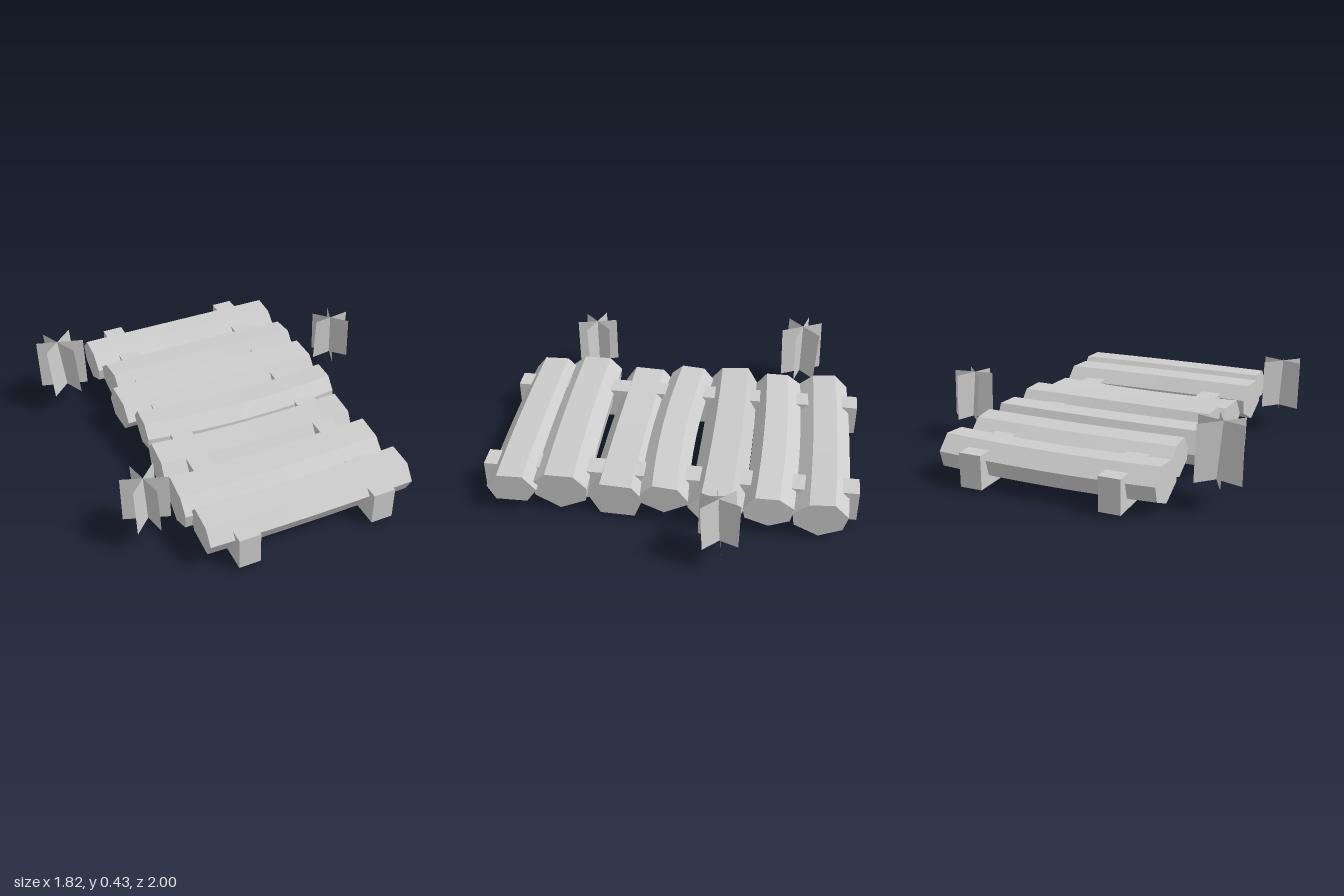
import * as THREE from 'three';

const grey = new THREE.MeshStandardMaterial({ color: 0xcccccc, side: THREE.DoubleSide });
grey.name = 'plain grey';

// Logs, front to back: x ends, z shift of the -x end, bow in z, sag in y, end slant,
// and the cross-section as [-z, y] corners.
const LOGS = [
  { x: [-0.54, 0.59], shift: 0, bow: 0.01, sag: 0, slant: 0.02,
    profile: [[-0.95, 0.165], [-0.89, 0.24], [-0.75, 0.245], [-0.68, 0.165], [-0.735, 0.085], [-0.905, 0.08]] },
  { x: [-0.57, 0.56], shift: 0.01, bow: 0.01, sag: 0, slant: 0.05,
    profile: [[-0.64, 0.245], [-0.485, 0.25], [-0.415, 0.18], [-0.425, 0.1], [-0.565, 0.03], [-0.7, 0.1], [-0.715, 0.18]] },
  { x: [-0.545, 0.56], shift: -0.02, bow: 0.01, sag: 0.015, slant: 0.06,
    profile: [[-0.35, 0.21], [-0.18, 0.21], [-0.12, 0.14], [-0.165, 0.02], [-0.35, 0.015], [-0.41, 0.12]] },
  { x: [-0.53, 0.59], shift: -0.022, bow: 0.03, sag: 0.01, slant: 0.06,
    profile: [[-0.065, 0.255], [0.065, 0.25], [0.122, 0.18], [0.115, 0.155], [-0.005, 0.085], [-0.135, 0.135], [-0.13, 0.195]] },
  { x: [-0.572, 0.602], shift: -0.005, bow: -0.01, sag: 0, slant: -0.03,
    profile: [[0.19, 0.235], [0.345, 0.245], [0.405, 0.135], [0.35, 0.06], [0.19, 0.065], [0.12, 0.15]] },
  { x: [-0.53, 0.597], shift: 0, bow: -0.015, sag: 0, slant: -0.05,
    profile: [[0.465, 0.245], [0.59, 0.24], [0.667, 0.18], [0.65, 0.1], [0.54, 0.06], [0.415, 0.11], [0.405, 0.17]] },
  { x: [-0.563, 0.602], shift: 0, bow: -0.012, sag: 0.008, slant: 0,
    profile: [[0.74, 0.23], [0.87, 0.24], [0.945, 0.165], [0.92, 0.08], [0.8, 0.027], [0.67, 0.09], [0.66, 0.16]] },
];

// Grass tufts: centre x and z, height, and blades as [width, dx, dz, tilt].
const TUFTS = [
  { at: [-0.775, -0.66], top: 0.43,
    blades: [[0.265, 49, 14, 0.02], [0.26, 22, 46, 0.08], [0.26, 36, -36, -0.07]] },
  { at: [0.8, -0.3], top: 0.39,
    blades: [[0.225, 43, -6, 0.05], [0.225, 30, 32, 0.08], [0.225, 15, -40, -0.05]] },
  { at: [-0.735, 0.6], top: 0.4,
    blades: [[0.24, 43, 15, 0.03], [0.235, 11, 44, 0.05], [0.24, 32, -33, -0.03]] },
];

function part(geometry, name) {
  const mesh = new THREE.Mesh(geometry, grey);
  mesh.name = name;
  return mesh;
}

// A faceted log along x, gently bent along its length
function makeLog({ x: [x0, x1], shift, bow, sag, slant, profile }) {
  const shape = new THREE.Shape(profile.map(([u, v]) => new THREE.Vector2(u, v)));
  const extruded = new THREE.ExtrudeGeometry(shape, { depth: x1 - x0, steps: 8, bevelEnabled: false });
  extruded.rotateY(Math.PI / 2).translate(x0, 0, 0);
  const geometry = extruded.index ? extruded.toNonIndexed() : extruded;
  const centreZ = -profile.reduce((sum, p) => sum + p[0], 0) / profile.length;
  const pos = geometry.attributes.position;
  for (let i = 0; i < pos.count; i++) {
    const t = (2 * (pos.getX(i) - x0)) / (x1 - x0) - 1;
    const arch = 1 - t * t;
    const z = pos.getZ(i);
    pos.setXYZ(i,
      pos.getX(i) - slant * (z - centreZ),
      pos.getY(i) - sag * arch,
      z + (shift * (1 - t)) / 2 + bow * arch);
  }
  geometry.computeVertexNormals();
  return part(geometry, 'log');
}

// Three crossed, slightly leaning cards
function makeTuft({ at: [x, z], top }, blades) {
  const tuft = new THREE.Group();
  tuft.name = 'grassTuft';
  const bottom = 0.13;
  for (const [width, dx, dz, tilt] of blades) {
    const blade = part(new THREE.PlaneGeometry(width, top - bottom), 'grassBlade');
    blade.rotation.set(tilt, Math.atan2(-dz, dx), 0, 'YXZ');
    tuft.add(blade);
  }
  tuft.position.set(x, (top + bottom) / 2, z);
  return tuft;
}

export function createModel() {
  const model = new THREE.Group();
  model.name = 'logBridge';

  // Two long support beams
  for (const [a, b] of [[-0.415, -0.3], [0.33, 0.45]]) {
    const beam = part(new THREE.BoxGeometry(b - a, 0.18, 2), 'supportBeam');
    beam.position.set((a + b) / 2, 0.11, 0);
    model.add(beam);
  }

  for (const log of LOGS) model.add(makeLog(log));
  for (const tuft of TUFTS) model.add(makeTuft(tuft, tuft.blades));
  return model;
}
